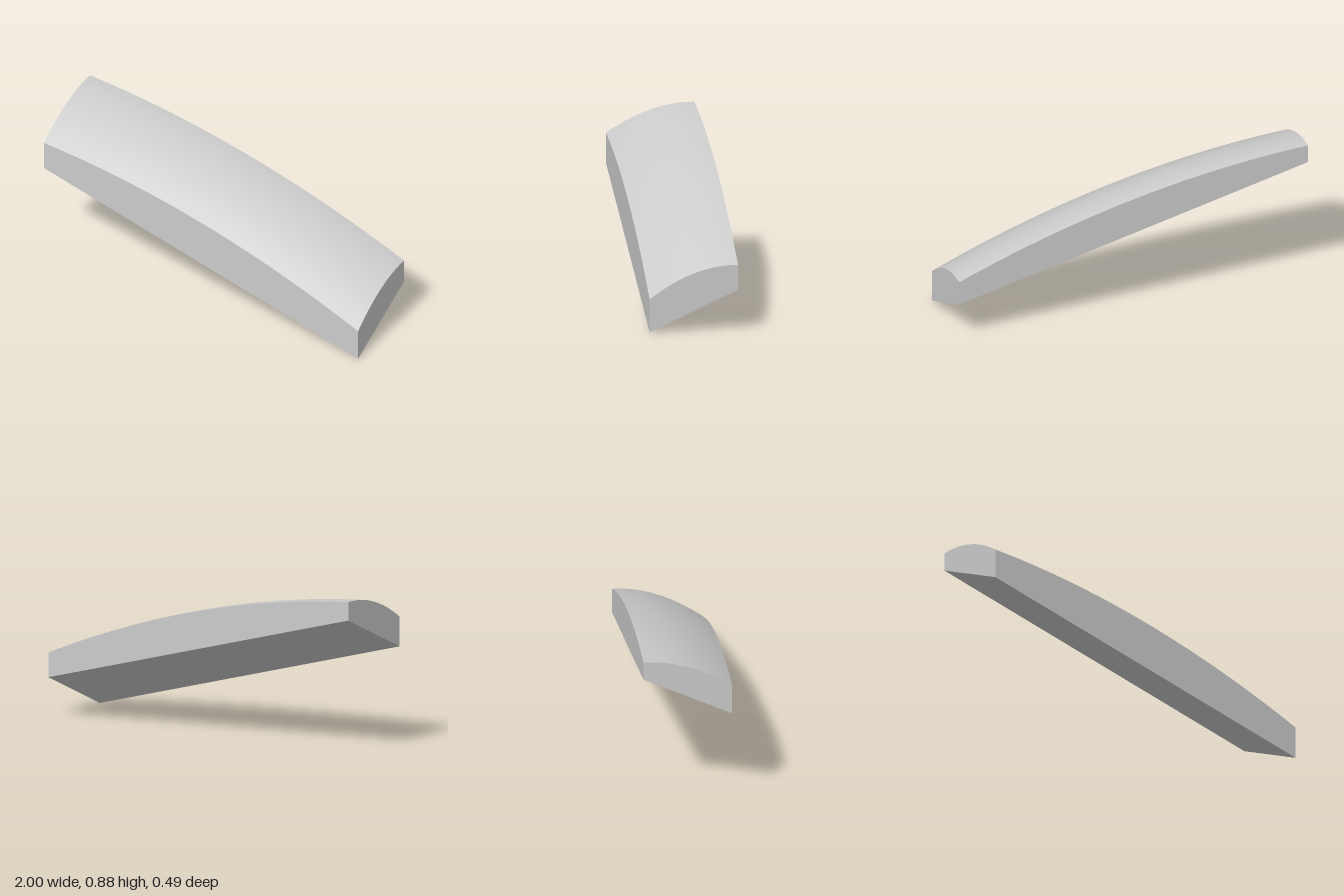
import * as THREE from 'three';

const WIDTH = 2;
const DEPTH = 0.486;

// Flat underside, tilted along both x and z
const undersideHeight = (x, z) => 0.3886 - 0.276 * x - 0.4635 * z;

// Crowned upper surface, curved along both x and z
const crownHeight = (x, z) =>
  0.675 - 0.2605 * x - 0.093 * x * x
  - (0.3416 + 0.02 * x + 0.011 * x * x) * z
  - (0.78 + 0.04 * x) * z * z;

export function createModel() {
  const group = new THREE.Group();
  group.name = 'curvedPanel';

  // Block whose bottom and top follow the two height rules
  const geometry = new THREE.BoxGeometry(WIDTH, 1, DEPTH, 40, 1, 16);
  const position = geometry.attributes.position;
  for (let i = 0; i < position.count; i++) {
    const x = position.getX(i);
    const z = position.getZ(i);
    const height = position.getY(i) > 0 ? crownHeight : undersideHeight;
    position.setY(i, height(x, z));
  }
  // Faces share no corners, so the crown is smooth and the edges stay sharp
  geometry.computeVertexNormals();

  const panel = new THREE.Mesh(geometry, new THREE.MeshStandardMaterial({ color: 0xcccccc }));
  panel.name = 'crownedBlock';
  group.add(panel);
  return group;
}
